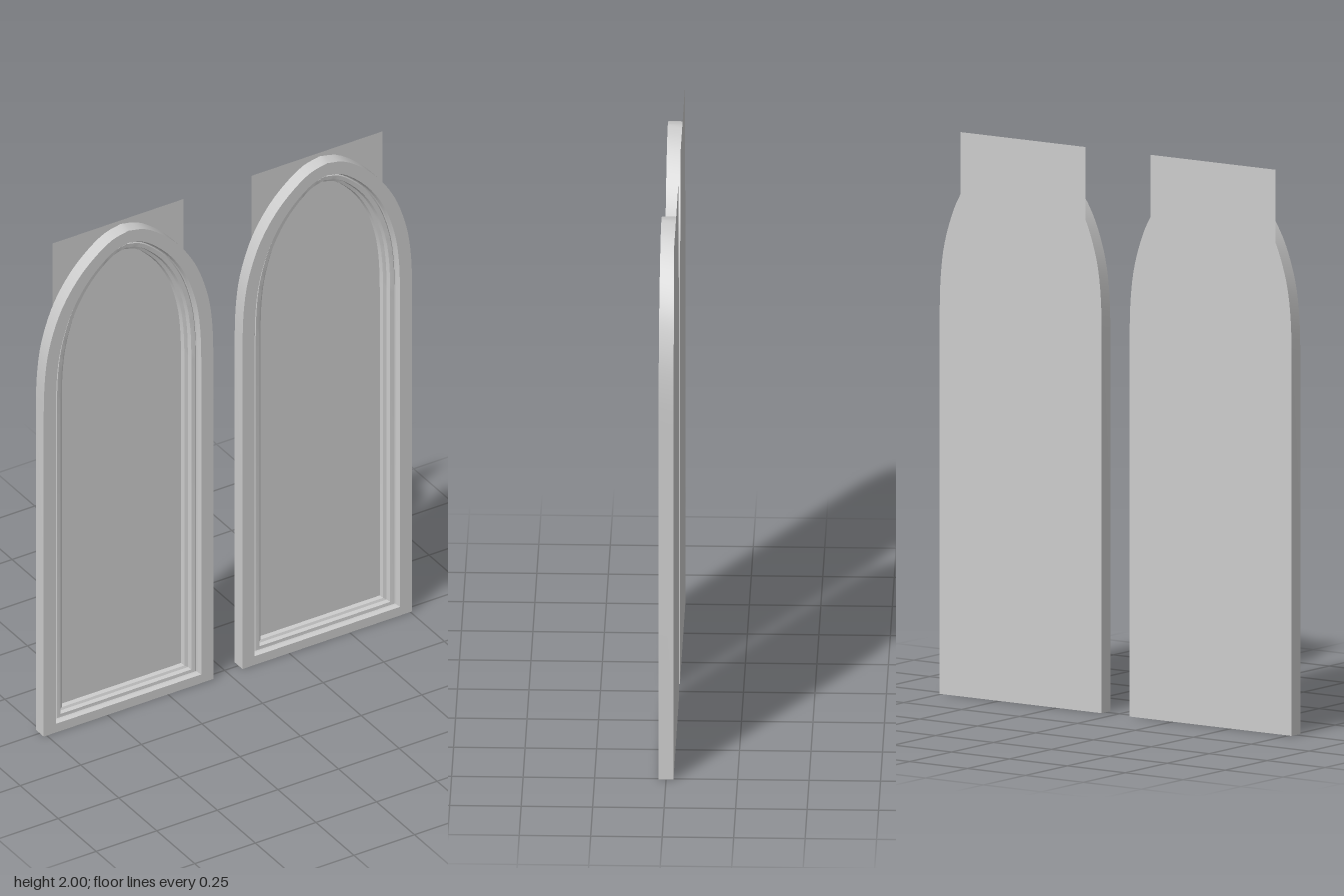
import * as THREE from 'three';
import { toCreasedNormals } from 'three/addons/utils/BufferGeometryUtils.js';

const HALF_WIDTH = 0.35, SPRING = 1.35, APEX = 1.985, FRONT = 0.026, BACK = -0.026;

// Half of the arch: x as a share of the half width, y as a share of the rise.
const ARCH = new THREE.CatmullRomCurve3(
  [[1, 0], [0.99, 0.18], [0.955, 0.35], [0.89, 0.49], [0.785, 0.635], [0.6, 0.79], [0.386, 0.905], [0.19, 0.975], [0, 1]]
    .map(([x, y]) => new THREE.Vector3(x, y, 0))
).getPoints(24);

// Moulding section: distance inward from the outer edge, and depth.
const PROFILE = [
  [0, BACK], [0, FRONT], [0.05, FRONT], [0.054, 0.02], [0.056, 0.01], [0.06, 0.007],
  [0.064, 0.011], [0.08, 0.009], [0.085, -0.006], [0.097, -0.01], [0.101, BACK],
];

// Closed outline of the arch, moved inward by d; the sill is narrower.
function outline(d) {
  const half = HALF_WIDTH - d, rise = APEX - d - SPRING, sill = d * 0.72;
  const right = ARCH.map(p => [p.x * half, SPRING + p.y * rise]);
  const left = right.slice(0, -1).reverse().map(([x, y]) => [-x, y]);
  return [[half, sill], ...right, ...left, [-half, sill]];
}

// Sweep the moulding section around the outline.
function frameGeometry() {
  const rings = PROFILE.map(([d, z]) => outline(d).map(([x, y]) => [x, y, z]));
  const count = rings[0].length, positions = [];
  rings.forEach((ring, j) => {
    const next = rings[(j + 1) % rings.length];
    for (let i = 0; i < count; i++) {
      const k = (i + 1) % count;
      positions.push(...ring[i], ...ring[k], ...next[k], ...ring[i], ...next[k], ...next[i]);
    }
  });
  const geometry = new THREE.BufferGeometry();
  geometry.setAttribute('position', new THREE.Float32BufferAttribute(positions, 3));
  return toCreasedNormals(geometry, 0.45);
}

export function createModel() {
  const model = new THREE.Group();
  model.name = 'archedWindows';
  const material = new THREE.MeshStandardMaterial({ color: 0xcccccc });
  const paneMaterial = new THREE.MeshStandardMaterial({ color: 0xcccccc, side: THREE.DoubleSide });
  const frame = frameGeometry();

  // Flat pane behind the opening, its square top rising past the arch.
  const bottom = 0.04, top = 2;
  const pane = new THREE.PlaneGeometry(0.54, top - bottom);
  pane.translate(-0.0105, (top + bottom) / 2, BACK);

  for (const [name, x] of [['rightWindow', -0.4125], ['leftWindow', 0.4075]]) {
    const panel = new THREE.Group();
    panel.name = name;
    panel.position.x = x;
    const frameMesh = new THREE.Mesh(frame, material);
    frameMesh.name = 'archFrame';
    const paneMesh = new THREE.Mesh(pane, paneMaterial);
    paneMesh.name = 'pane';
    panel.add(frameMesh, paneMesh);
    model.add(panel);
  }
  return model;
}
